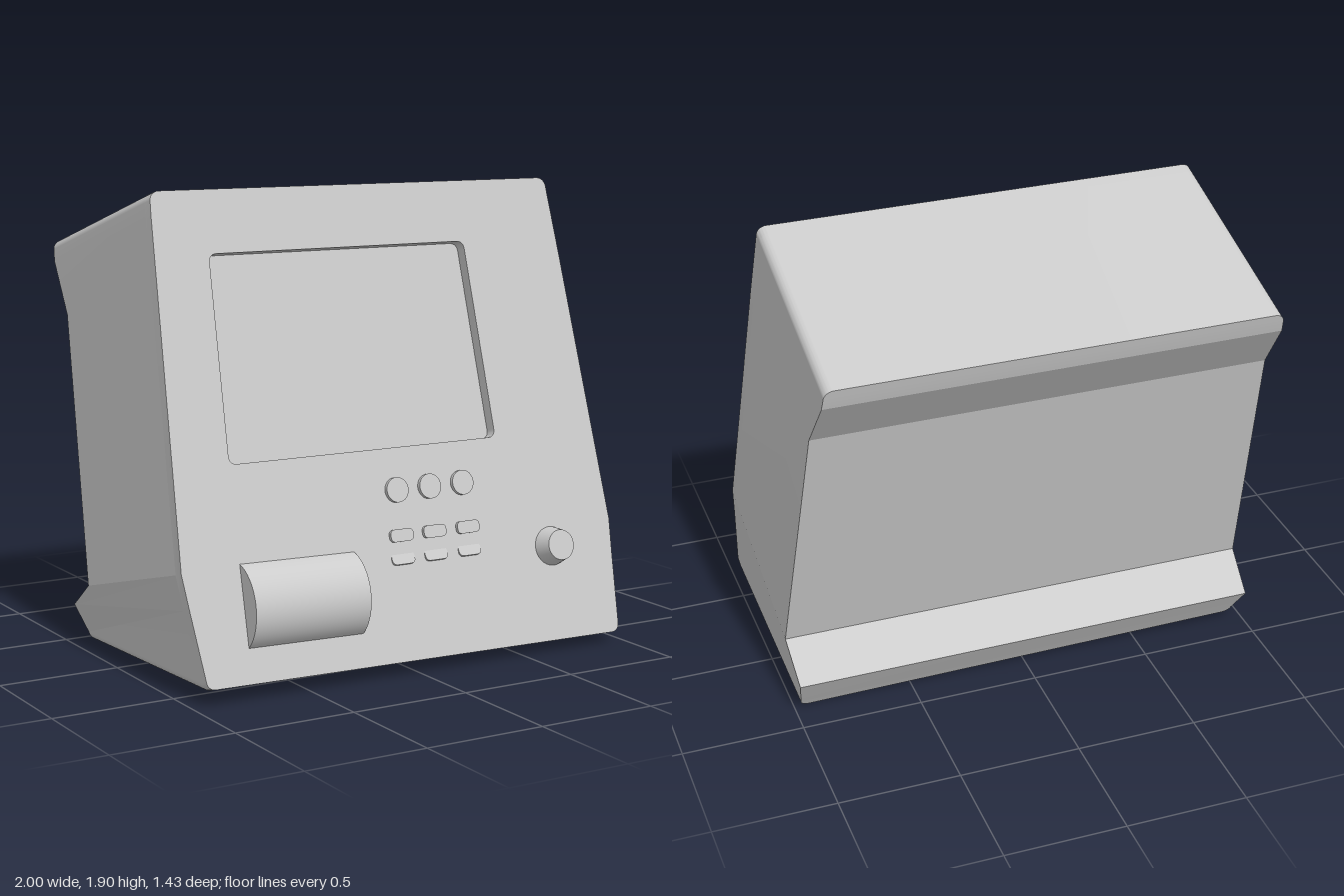
import * as THREE from 'three';
import { toCreasedNormals } from 'three/addons/utils/BufferGeometryUtils.js';

const PANEL = 0.05; // thickness of the front panel, and so the depth of the screen recess

// Cabinet levels from bottom to top:
// [front height, left x, right x, back depth, back height, extra height on the left]
function cabinetLevels() {
  const rows = [];
  const steps = 14;
  for (let i = 0; i <= steps; i++) { // rounded lower side edges
    const a = (i / steps) * Math.PI / 2, r = 0.035;
    const inset = r * (1 - Math.sin(a)), rise = r * (1 - Math.cos(a));
    rows.push([rise, -0.953 + inset, 0.973 - inset, 1.026 + rise * 0.27, 0.226 + rise, 0.026]);
  }
  rows.push([0.325, -0.985, 0.99, 1.073, 0.399, 0.008]); // rear foot lip
  rows.push([0.47, -1, 1, 0.872, 0.475, 0]);             // widest line
  rows.push([1.59, -0.947, 0.932, 0.865, 1.59, 0]);      // top of rear wall
  rows.push([1.826, -0.936, 0.916, 0.952, 1.826, 0]);    // rear overhang
  for (let i = 0; i <= steps; i++) { // rounded upper side edges
    const a = (i / steps) * Math.PI / 2, r = 0.04;
    const inset = r * (1 - Math.cos(a)), u = 1.884 + r * Math.sin(a);
    rows.push([u, -0.932 + inset, 0.912 - inset, 0.954, u - 0.01, 0]);
  }
  return rows;
}

// Closed shell made of four-cornered rings, one per level
function cabinetGeometry(levels) {
  const pos = [];
  const quad = (a, b, c, d) => pos.push(...a, ...b, ...c, ...a, ...c, ...d);
  const rings = levels.map(([uF, xL, xR, wB, uB, roll]) => {
    const u = uF;
    return [
      [xL, u + roll, -PANEL], [xR, u, -PANEL],
      [xR, uB, -wB], [xL, uB + roll, -wB],
    ];
  });
  for (let i = 0; i < rings.length - 1; i++) {
    const lo = rings[i], hi = rings[i + 1];
    for (let k = 0; k < 4; k++) {
      const n = (k + 1) % 4;
      quad(lo[k], lo[n], hi[n], hi[k]);
    }
  }
  const bottom = rings[0], top = rings[rings.length - 1];
  quad(bottom[3], bottom[2], bottom[1], bottom[0]);
  quad(top[0], top[1], top[2], top[3]);
  const g = new THREE.BufferGeometry();
  g.setAttribute('position', new THREE.Float32BufferAttribute(pos, 3));
  return toCreasedNormals(g, 0.12);
}

// Closed path through the corners, each rounded by r
function roundedPath(path, corners, r) {
  const pts = corners.map(([x, y]) => new THREE.Vector2(x, y));
  const n = pts.length;
  pts.forEach((p, i) => {
    const toward = (q) => p.clone().add(q.clone().sub(p).setLength(r));
    const a = toward(pts[(i + n - 1) % n]), b = toward(pts[(i + 1) % n]);
    if (i === 0) path.moveTo(a.x, a.y);
    else path.lineTo(a.x, a.y);
    path.quadraticCurveTo(p.x, p.y, b.x, b.y);
  });
  path.closePath();
  return path;
}

export function createModel() {
  const model = new THREE.Group();
  model.name = 'desktopTerminal';
  // Everything is built upright on the front plane, then leaned back
  const body = new THREE.Group();
  body.name = 'leaningBody';
  body.position.set(0, 0.05, 0.7);
  body.rotation.x = -0.26;
  model.add(body);

  const material = new THREE.MeshStandardMaterial({ color: 0xcccccc });
  const add = (name, geometry, x = 0, y = 0, z = 0) => {
    const mesh = new THREE.Mesh(geometry, material);
    mesh.name = name;
    mesh.position.set(x, y, z);
    body.add(mesh);
    return mesh;
  };

  // Cabinet
  const levels = cabinetLevels();
  add('cabinet', cabinetGeometry(levels));

  // Front panel with the screen opening; the cabinet behind it is the screen
  const right = levels.map(([u, , xR]) => new THREE.Vector2(xR, u));
  const left = levels.map(([u, xL, , , , roll]) => new THREE.Vector2(xL, u + roll));
  const panel = new THREE.Shape([...right, ...left.reverse()]);
  panel.holes.push(roundedPath(new THREE.Path(),
    [[-0.741, 0.859], [-0.712, 1.672], [0.46, 1.672], [0.486, 0.859]], 0.035));
  const panelGeometry = new THREE.ExtrudeGeometry(panel, { depth: PANEL, bevelEnabled: false, curveSegments: 8 });
  add('frontPanel', toCreasedNormals(panelGeometry, 0.25), 0, 0, -PANEL);

  // Round buttons
  const round = new THREE.CylinderGeometry(0.05, 0.05, 0.04, 32).rotateX(Math.PI / 2);
  for (const x of [-0.02, 0.134, 0.29]) add('roundButton', round, x, 0.69, -0.003);

  // Two rows of small oblong keys, the lower row tipped back
  const keyShape = roundedPath(new THREE.Shape(),
    [[-0.053, -0.025], [0.053, -0.025], [0.053, 0.025], [-0.053, 0.025]], 0.022);
  const key = toCreasedNormals(
    new THREE.ExtrudeGeometry(keyShape, { depth: 0.03, bevelEnabled: false, curveSegments: 6 }), 0.5);
  for (const x of [-0.025, 0.13, 0.29]) {
    add('upperKey', key, x, 0.51, -0.016);
    add('lowerKey', key, x - 0.003, 0.413, -0.025).rotation.x = -0.25;
  }

  // Tapered knob
  add('knob', new THREE.CylinderGeometry(0.062, 0.085, 0.09, 40).rotateX(Math.PI / 2), 0.69, 0.388, 0.025);

  // Half-sunk roller cover
  const roller = new THREE.CylinderGeometry(0.182, 0.182, 0.505, 64).rotateZ(Math.PI / 2);
  add('rollerCover', roller, -0.502, 0.315, -0.087).rotation.z = -0.02;

  return model;
}
